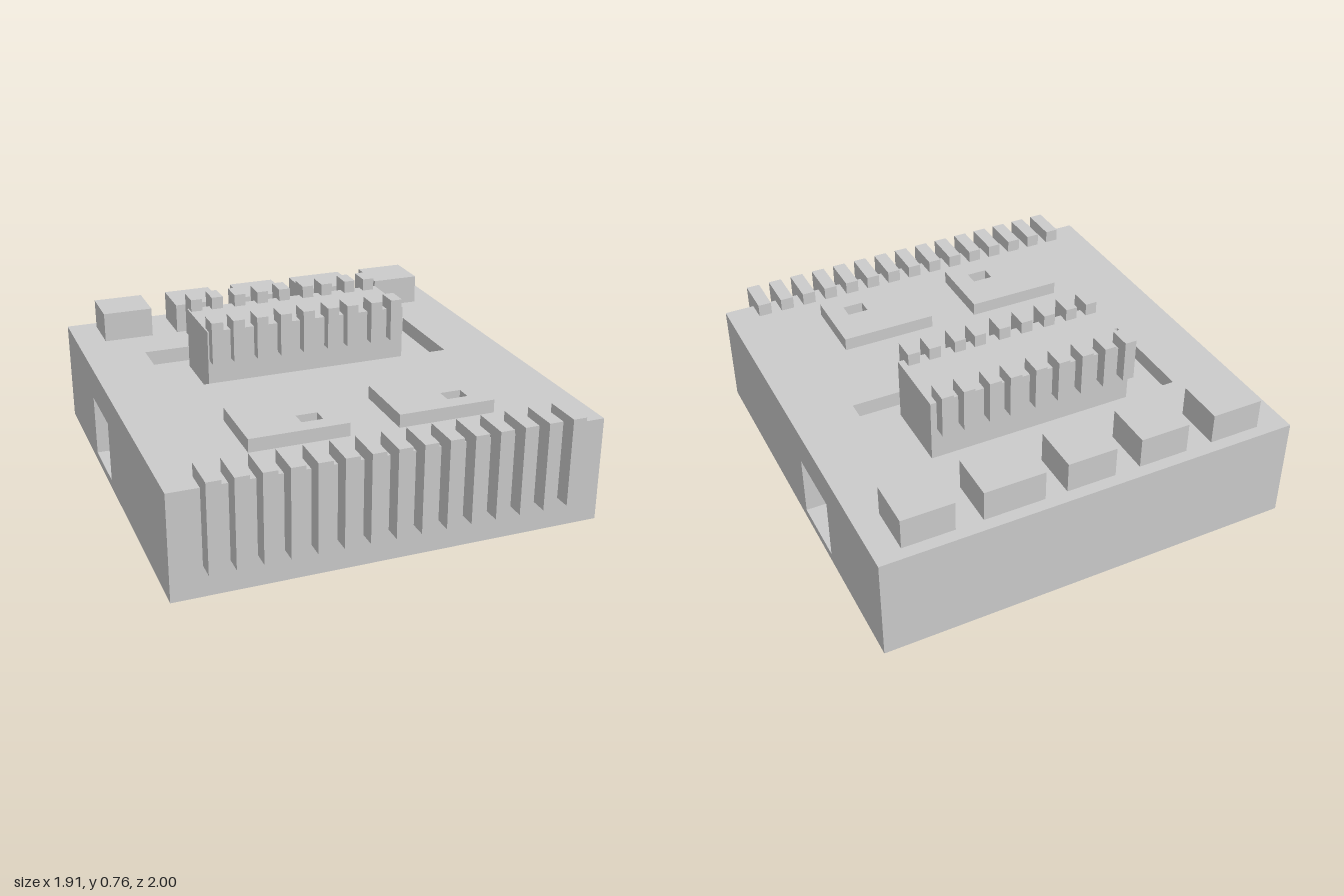
import * as THREE from 'three';

const material = new THREE.MeshStandardMaterial({ color: 0xcccccc, flatShading: true });

function add(parent, name, geometry) {
  const mesh = new THREE.Mesh(geometry, material);
  mesh.name = name;
  parent.add(mesh);
  return mesh;
}

// Box given by its limits on each axis
function box(parent, name, [x0, x1], [y0, y1], [z0, z1]) {
  const g = new THREE.BoxGeometry(x1 - x0, y1 - y0, z1 - z0);
  g.translate((x0 + x1) / 2, (y0 + y1) / 2, (z0 + z1) / 2);
  return add(parent, name, g);
}

const rect = (path, [a0, a1], [b0, b1]) =>
  path.moveTo(a0, b0).lineTo(a1, b0).lineTo(a1, b1).lineTo(a0, b1).closePath();

// Rectangle with a rectangular window, extruded along z
function windowed(a, b, holeA, holeB, depth) {
  const shape = rect(new THREE.Shape(), a, b);
  shape.holes.push(rect(new THREE.Path(), holeA, holeB));
  return new THREE.ExtrudeGeometry(shape, { depth, bevelEnabled: false });
}

// Horizontal plate with a window, lying between y0 and y1
function plate(parent, name, x, [y0, y1], [z0, z1], holeX, [hz0, hz1]) {
  const g = windowed(x, [-z1, -z0], holeX, [-hz1, -hz0], y1 - y0);
  g.rotateX(-Math.PI / 2).translate(0, y0, 0);
  return add(parent, name, g);
}

function subgroup(parent, name) {
  const g = new THREE.Group();
  g.name = name;
  parent.add(g);
  return g;
}

export function createModel() {
  const model = new THREE.Group();
  model.name = 'circuitBlock';
  const W = 0.955, FLOOR = 0.41, TOP = 0.48, bodyZ = [-1, 0.92];

  // Lower body with a square tunnel running from side to side
  const lower = windowed(bodyZ, [0, FLOOR], [-0.42, -0.11], [0.04, 0.325], 2 * W);
  lower.translate(0, 0, -W).rotateY(-Math.PI / 2);
  add(model, 'bodyBase', lower);

  // Upper body with the recess around the chip
  plate(model, 'bodyTop', [-W, W], [FLOOR, TOP], bodyZ, [-0.675, 0.675], [-0.515, -0.035]);

  // Raised chip and its two rows of pins
  const chip = subgroup(model, 'chip');
  box(chip, 'chipBody', [-0.48, 0.48], [FLOOR, 0.7], [-0.44, -0.105]);
  for (const x of [-0.446, -0.345, -0.233, -0.12, -0.01, 0.11, 0.206, 0.326, 0.425]) {
    box(chip, 'backPin', [x - 0.027, x + 0.027], [0.56, 0.757], [-0.495, -0.392]);
    box(chip, 'frontPin', [x - 0.027, x + 0.027], [0.56, 0.757], [-0.155, -0.055]);
  }

  // Flat pads, each with a small window
  for (const x of [-0.555, 0.107]) {
    plate(model, 'pad', [x, x + 0.44], [TOP, 0.54], [0.37, 0.7],
      [x + 0.255, x + 0.35], [0.555, 0.625]);
  }

  // Row of contacts hooked over the front edge
  const contacts = subgroup(model, 'frontContacts');
  for (let i = 0; i < 15; i++) {
    const x = -0.787 + i * 0.1123;
    box(contacts, 'contact', [x - 0.031, x + 0.031], [0.14, 0.54], [0.82, 1]);
  }

  // Blocks along the back edge
  const blocks = subgroup(model, 'backBlocks');
  for (const x of [[-0.82, -0.585], [-0.46, -0.232], [-0.115, 0.11], [0.21, 0.485], [0.607, 0.838]]) {
    box(blocks, 'block', x, [TOP, 0.62], [-0.945, -0.727]);
  }
  return model;
}
